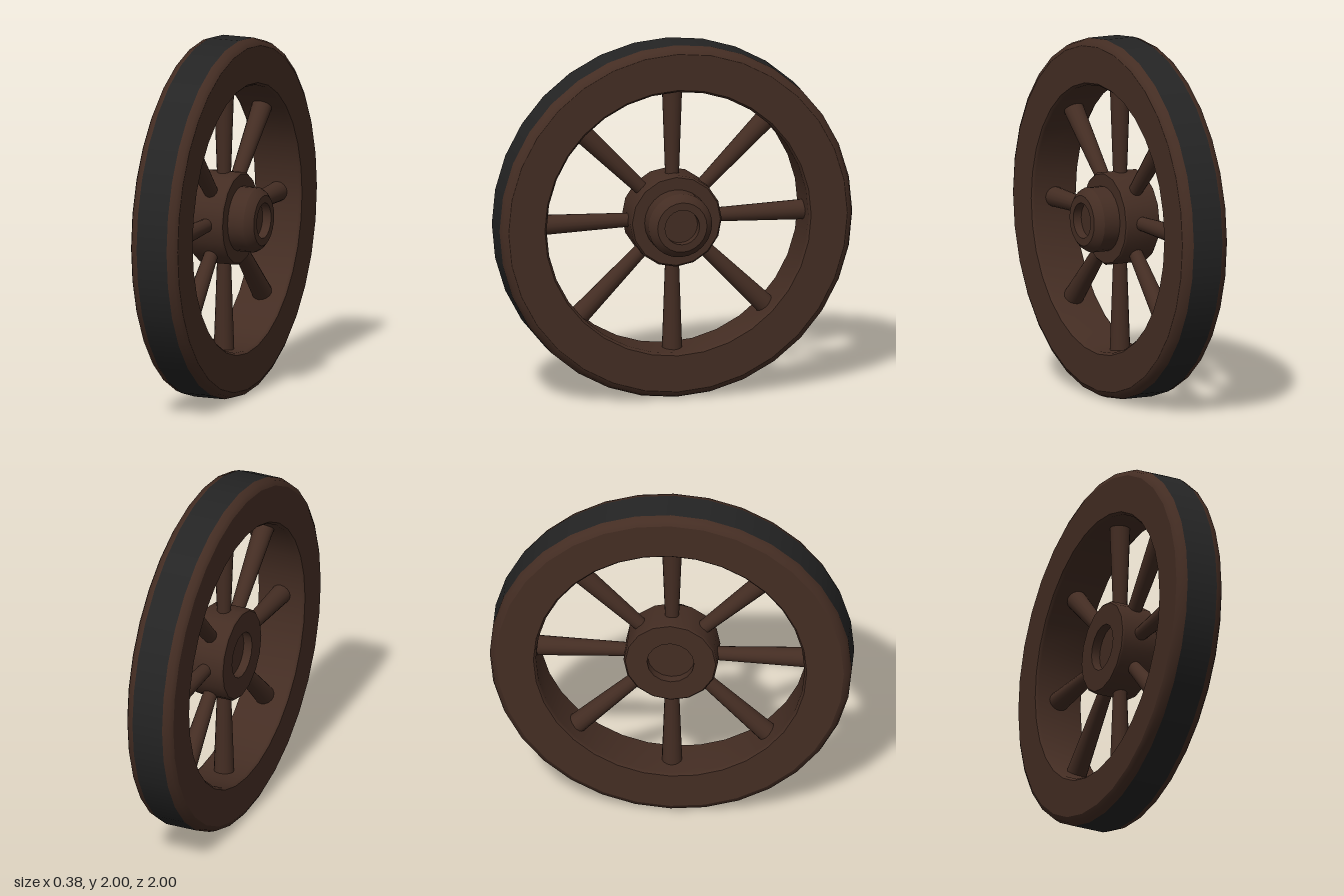
import * as THREE from 'three';
import { mergeGeometries } from 'three/addons/utils/BufferGeometryUtils.js';

const wood = new THREE.MeshStandardMaterial({ color: 0x442d23 });
wood.name = 'darkWood';
const iron = new THREE.MeshStandardMaterial({ color: 0x242424 });
iron.name = 'blackTyre';

// Turns profiles of [x, radius] around the axle; separate profiles keep a sharp edge between them.
function turned(name, material, sides, profiles) {
  const parts = profiles.map(profile =>
    new THREE.LatheGeometry(profile.map(([x, r]) => new THREE.Vector2(r, x)), sides));
  const mesh = new THREE.Mesh(mergeGeometries(parts), material);
  mesh.name = name;
  mesh.rotation.z = -Math.PI / 2;
  return mesh;
}

export function createModel() {
  const wheel = new THREE.Group();
  wheel.name = 'wheel';
  const body = new THREE.Group();
  body.name = 'wheelBody';
  body.position.y = 1;
  wheel.add(body);

  // Wooden rim: rounded outer shoulders, flat faces and inner surface
  body.add(turned('rim', wood, 32, [
    [[0.04, 1], [0.075, 0.988], [0.09, 0.96]],
    [[0.09, 0.96], [0.09, 0.755]],
    [[0.09, 0.755], [0.075, 0.742], [-0.175, 0.742], [-0.19, 0.755]],
    [[-0.19, 0.755], [-0.19, 0.96]],
    [[-0.19, 0.96], [-0.175, 0.988], [-0.14, 1]],
  ]));

  // Tyre band around the rim
  body.add(turned('tyre', iron, 32, [[[-0.14, 1], [0.04, 1]]]));

  // Hub drum with a recess at the back
  body.add(turned('hub', wood, 16, [
    [[-0.11, 0], [-0.11, 0.13]],
    [[-0.11, 0.13], [-0.16, 0.13]],
    [[-0.16, 0.13], [-0.16, 0.25]],
    [[-0.16, 0.25], [-0.15, 0.26], [0.04, 0.26], [0.05, 0.25]],
    [[0.05, 0.25], [0.05, 0.17]],
  ]));

  // Hub cap with a socket in its end
  body.add(turned('hubCap', wood, 24, [
    [[0.05, 0.18], [0.145, 0.18]],
    [[0.145, 0.18], [0.17, 0.165], [0.19, 0.14]],
    [[0.19, 0.14], [0.19, 0.098]],
    [[0.19, 0.098], [0.14, 0.098]],
    [[0.14, 0.098], [0.14, 0]],
  ]));

  // Eight spokes, thicker towards the rim
  const spokeShape = new THREE.CylinderGeometry(0.057, 0.038, 0.53, 16, 1, true);
  spokeShape.translate(0, 0.49, 0);
  for (let i = 0; i < 8; i++) {
    const spoke = new THREE.Mesh(spokeShape, wood);
    spoke.name = `spoke${i + 1}`;
    spoke.position.x = -0.05;
    spoke.rotation.x = i * Math.PI / 4;
    body.add(spoke);
  }
  return wheel;
}
